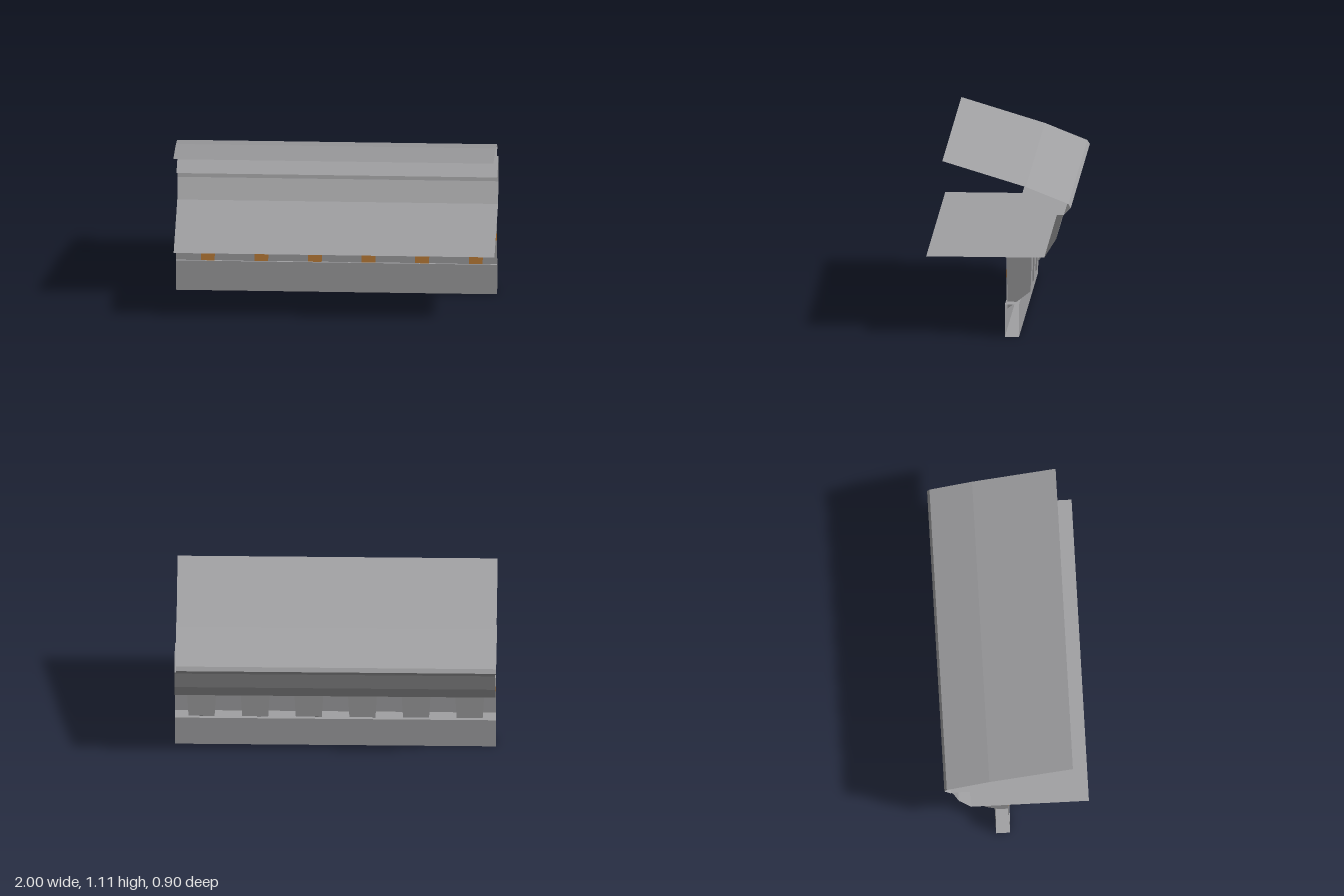
import * as THREE from 'three';

const stone = new THREE.MeshStandardMaterial({ color: 0xa0a0a2, side: THREE.DoubleSide });
stone.name = 'grey stone';
const orange = new THREE.MeshStandardMaterial({ color: 0xc3813b, side: THREE.DoubleSide });
orange.name = 'orange trim';

// Mesh from flat quads, each given as four [x, y, z] corners
function quadMesh(name, quads, material) {
  const pos = [];
  for (const [a, b, c, d] of quads) pos.push(...a, ...b, ...c, ...a, ...c, ...d);
  const geometry = new THREE.BufferGeometry();
  geometry.setAttribute('position', new THREE.Float32BufferAttribute(pos, 3));
  geometry.computeVertexNormals();
  const mesh = new THREE.Mesh(geometry, material);
  mesh.name = name;
  return mesh;
}

// Thin sheet swept along x from a [z, y] profile
function sheet(name, profile, material = stone, x0 = -0.995, x1 = 1) {
  const quads = [];
  for (let i = 0; i < profile.length - 1; i++) {
    const [za, ya] = profile[i], [zb, yb] = profile[i + 1];
    quads.push([[x0, ya, za], [x0, yb, zb], [x1, yb, zb], [x1, ya, za]]);
  }
  return quadMesh(name, quads, material);
}

// Tapered bracket with a sloping foot; its wall side is half orange
function bracket(cx) {
  const group = new THREE.Group();
  group.name = 'bracket';
  // side outline: [z, y, half width]
  const outline = [[-0.05, 0.497, 0.092], [-0.203, 0.497, 0.092], [-0.195, 0.273, 0.081], [-0.05, 0.16, 0.075]];
  const right = outline.map(([z, y, w]) => [cx + w, y, z]);
  const left = outline.map(([z, y, w]) => [cx - w, y, z]);
  const quads = [right, [...left].reverse()];
  for (let i = 0; i < 3; i++) quads.push([left[i], left[i + 1], right[i + 1], right[i]]);
  group.add(quadMesh('bracketBody', quads, stone));

  const z = -0.047, mid = cx - 0.008;
  group.add(quadMesh('bracketBackGrey',
    [[[cx - 0.075, 0.16, z], [mid, 0.16, z], [mid, 0.497, z], [cx - 0.092, 0.497, z]]], stone));
  group.add(quadMesh('bracketBackOrange',
    [[[mid, 0.16, z], [cx + 0.075, 0.16, z], [cx + 0.092, 0.497, z], [mid, 0.497, z]]], orange));
  return group;
}

export function createModel() {
  const model = new THREE.Group();
  model.name = 'cornice';

  // Sloping roof with its drip edge
  model.add(sheet('roof', [[0.35, 1.108], [-0.17, 0.95], [-0.435, 0.845]], stone, -1, 0.99));
  model.add(sheet('dripEdge', [[-0.435, 0.845], [-0.45, 0.82], [-0.408, 0.778]], stone, -1, 0.99));

  // Crown moulding below the roof
  model.add(sheet('crownLedge', [[-0.11, 0.778], [-0.408, 0.778], [-0.395, 0.758]]));
  model.add(sheet('crownMoulding', [[-0.395, 0.758], [-0.36, 0.625], [-0.29, 0.513]]));

  // Soffit shelf above the brackets
  model.add(sheet('soffit', [[-0.29, 0.513], [-0.285, 0.505], [0.45, 0.505]]));

  // Frieze wall with its orange band
  model.add(sheet('friezeLower', [[-0.05, 0.16], [-0.05, 0.37]]));
  model.add(sheet('friezeBand', [[-0.05, 0.37], [-0.05, 0.42]], orange));
  model.add(sheet('friezeUpper', [[-0.05, 0.42], [-0.05, 0.505]]));

  // Hollow base beam, open at the ends
  model.add(sheet('baseBeam', [[-0.04, 0], [-0.04, 0.205], [-0.128, 0.205], [-0.128, 0], [-0.04, 0]]));

  for (let i = 0; i < 6; i++) model.add(bracket((i - 2.5) / 3));
  return model;
}
